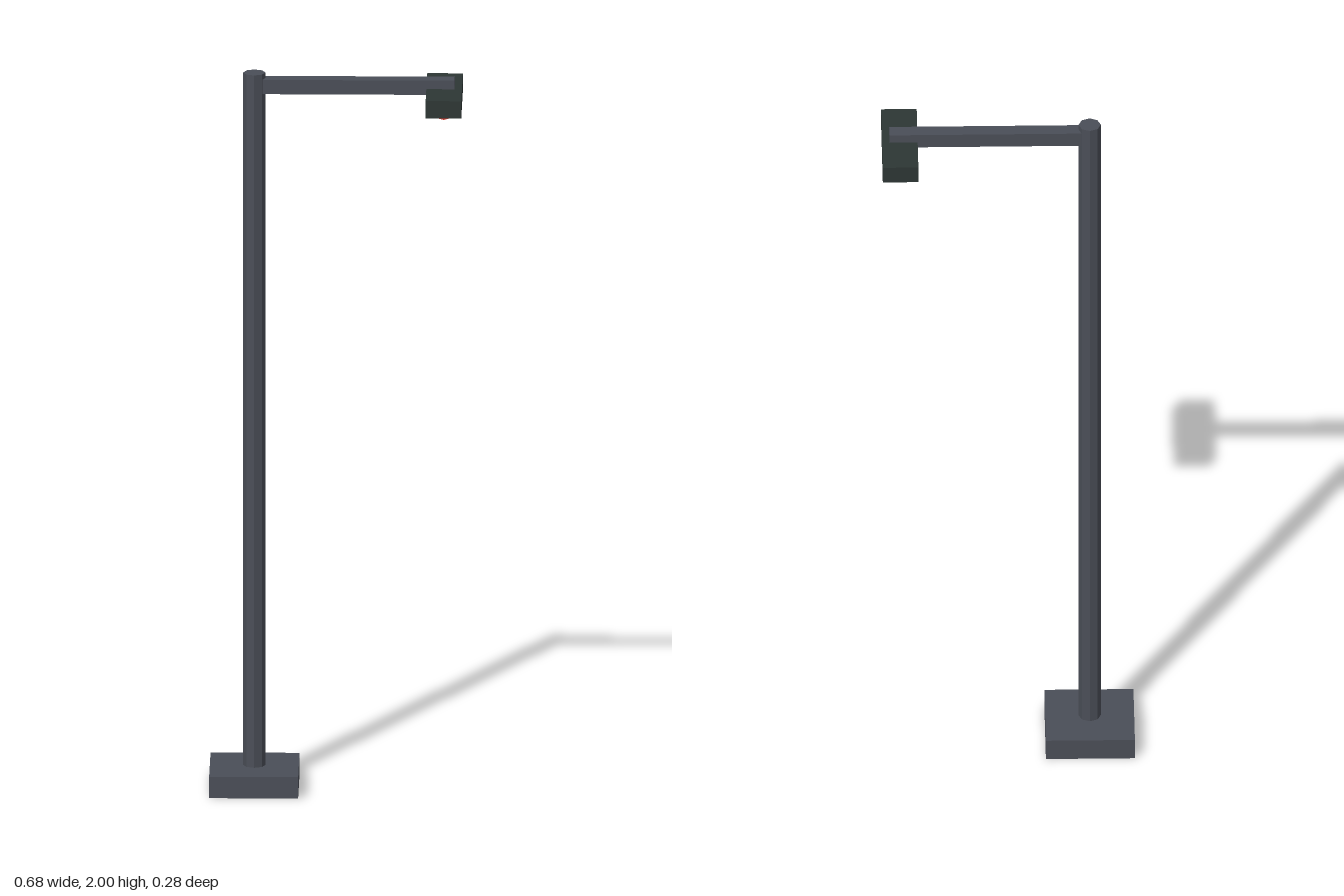
import * as THREE from 'three';

const mat = (name, color) => {
  const m = new THREE.MeshStandardMaterial({ color, flatShading: true });
  m.name = name;
  return m;
};

export function createModel() {
  const group = new THREE.Group();
  group.name = 'trafficLight';
  const steel = mat('steel grey', 0x4a4e57);
  const casing = mat('dark casing', 0x2d3634);

  const add = (name, geometry, material, x, y, z) => {
    const mesh = new THREE.Mesh(geometry, material);
    mesh.name = name;
    mesh.position.set(x, y, z);
    group.add(mesh);
    return mesh;
  };

  // Square foot, octagonal pole and the arm reaching out from its top
  add('base', new THREE.BoxGeometry(0.24, 0.06, 0.24), steel, -0.22, 0.03, 0);
  add('pole', new THREE.CylinderGeometry(0.03, 0.03, 1.94, 8), steel, -0.22, 1.03, 0);
  add('arm', new THREE.BoxGeometry(0.54, 0.04, 0.04), steel, 0.05, 1.965, 0);

  // Signal housing hung under the end of the arm
  add('signalHousing', new THREE.BoxGeometry(0.096, 0.048, 0.276), casing, 0.292, 1.937, 0);

  // Lamps: short discs on a z axis, half sunk into the housing's underside
  const lampGeometry = new THREE.CylinderGeometry(0.03, 0.03, 0.032, 12).rotateX(Math.PI / 2);
  const lamps = [
    ['redLamp', mat('signal red', 0xd8352a), 0.085],
    ['amberLamp', mat('signal amber', 0xe8a52c), 0],
    ['greenLamp', mat('signal green', 0x3f8f3a), -0.085],
  ];
  for (const [name, material, z] of lamps) add(name, lampGeometry, material, 0.292, 1.928, z);

  return group;
}
